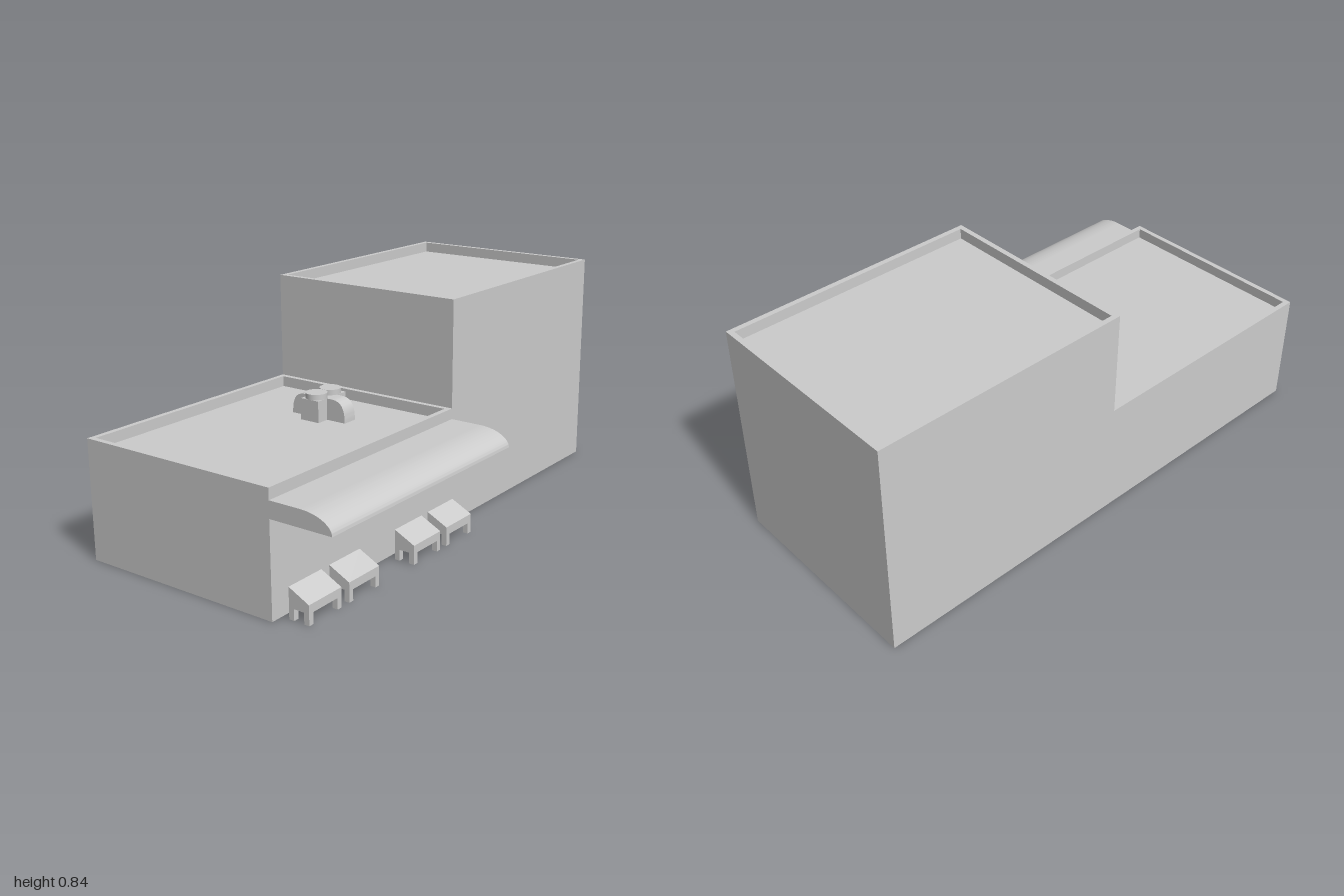
import * as THREE from 'three';
import { toCreasedNormals } from 'three/addons/utils/BufferGeometryUtils.js';

const material = new THREE.MeshStandardMaterial({ color: 0xcccccc });

function add(parent, name, geometry, x = 0, y = 0, z = 0) {
  const mesh = new THREE.Mesh(geometry, material);
  mesh.name = name;
  mesh.position.set(x, y, z);
  parent.add(mesh);
  return mesh;
}

const extrude = (shape, depth, curveSegments = 16) =>
  toCreasedNormals(
    new THREE.ExtrudeGeometry(shape, { depth, bevelEnabled: false, curveSegments }), 0.5);

const polygon = (points) => new THREE.Shape(points.map(([x, y]) => new THREE.Vector2(x, y)));

// Flat-roofed block with a thin parapet around a sunken roof
function buildingBlock(name, height, zCentre) {
  const width = 0.8, length = 1, wall = 0.02, parapet = 0.04;
  const block = new THREE.Group();
  block.name = name;
  block.position.set(-0.12, 0, zCentre);
  const body = height - parapet;
  add(block, 'walls', new THREE.BoxGeometry(width, body, length), 0, body / 2, 0);

  const rectangle = (w, l) => [[-w, -l], [w, -l], [w, l], [-w, l]];
  const rim = polygon(rectangle(width / 2, length / 2));
  rim.holes.push(polygon(rectangle(width / 2 - wall, length / 2 - wall).reverse()));
  add(block, 'parapet', extrude(rim, parapet).rotateX(-Math.PI / 2), 0, body, 0);
  return block;
}

// Side canopy: flat at the wall, curving down to its outer edge
function canopy() {
  const shape = new THREE.Shape();
  shape.moveTo(0.28, 0.34);
  shape.lineTo(0.52, 0.34);
  shape.absellipse(0.4, 0.34, 0.12, 0.06, 0, Math.PI / 2, false);
  shape.lineTo(0.28, 0.4);
  return extrude(shape, 1);
}

// Rooftop unit: central box, rounded ducts to both sides, two round vents
function roofUnit() {
  const unit = new THREE.Group();
  unit.name = 'roofUnit';
  unit.position.set(-0.12, 0.4, 0.24);
  add(unit, 'unitBox', new THREE.BoxGeometry(0.08, 0.08, 0.16), 0, 0.04, 0);

  const duct = new THREE.Shape();
  duct.moveTo(0.04, 0);
  duct.lineTo(0.12, 0);
  duct.bezierCurveTo(0.12, 0.06, 0.1, 0.08, 0.06, 0.08);
  duct.lineTo(0.04, 0.08);
  const ductGeometry = extrude(duct, 0.06).translate(0, 0, -0.03);
  add(unit, 'leftDuct', ductGeometry);
  add(unit, 'rightDuct', ductGeometry).rotation.y = Math.PI;

  for (const z of [-0.04, 0.04]) {
    add(unit, 'vent', new THREE.CylinderGeometry(0.04, 0.04, 0.02, 32), 0, 0.09, z);
  }
  return unit;
}

// Display stand: sloping top on four short legs
function displayStand(z) {
  const stand = new THREE.Group();
  stand.name = 'displayStand';
  stand.position.set(0.35, 0, z);
  const side = polygon([[-0.04, 0.04], [0.04, 0.04], [0.04, 0.07], [-0.04, 0.11]]);
  add(stand, 'slopedTop', extrude(side, 0.16).translate(0, 0, -0.08));
  for (const x of [-0.03, 0.03]) {
    for (const legZ of [-0.07, 0.07]) {
      add(stand, 'leg', new THREE.BoxGeometry(0.02, 0.04, 0.02), x, 0.02, legZ);
    }
  }
  return stand;
}

export function createModel() {
  const model = new THREE.Group();
  model.name = 'shopBuilding';
  model.add(buildingBlock('tallBlock', 0.84, -0.5));
  model.add(buildingBlock('lowBlock', 0.44, 0.5));
  add(model, 'canopy', canopy());
  model.add(roofUnit());
  for (const z of [0.115, 0.315, 0.675, 0.875]) model.add(displayStand(z));
  return model;
}
